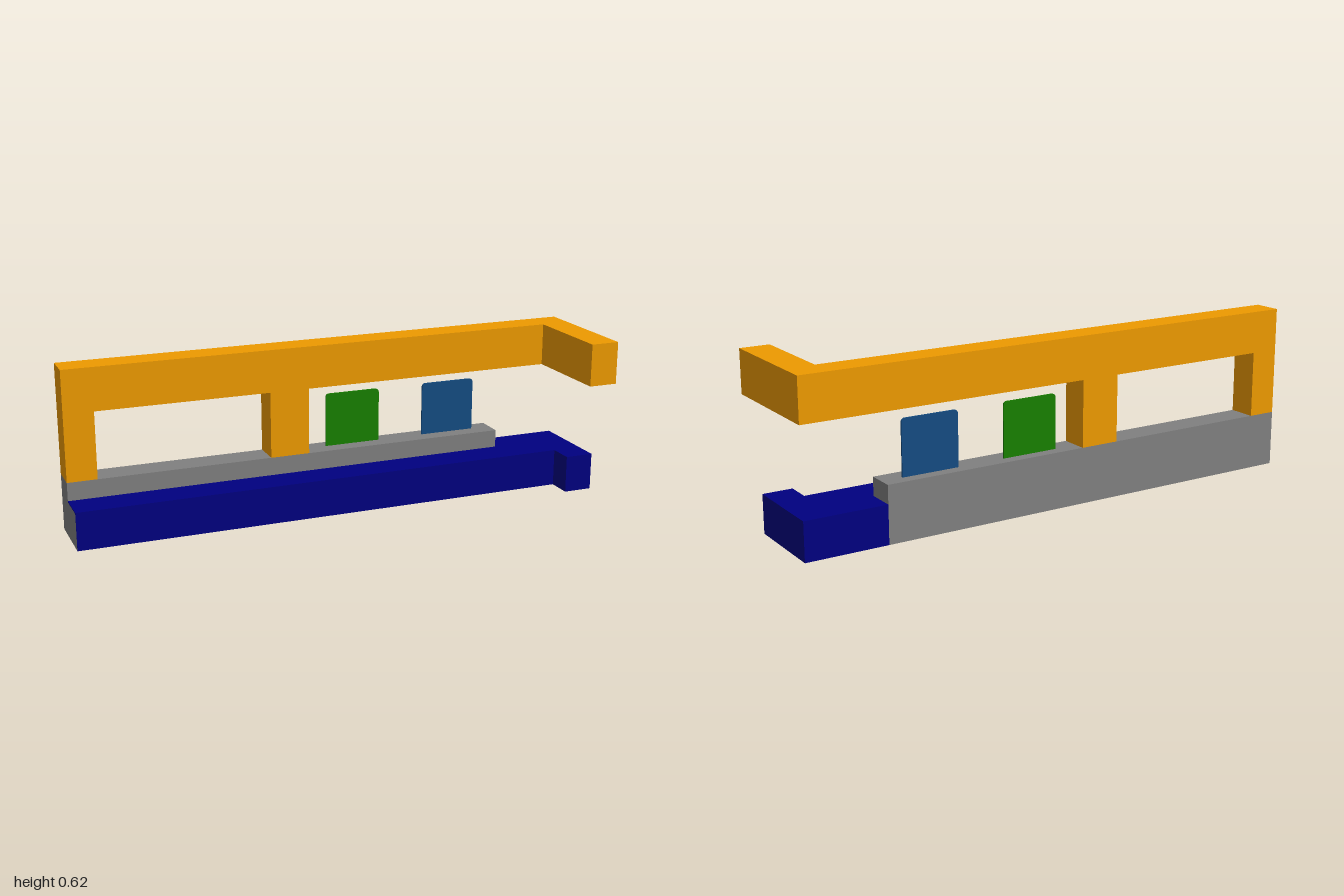
import * as THREE from 'three';

const material = (color) => new THREE.MeshStandardMaterial({ color, flatShading: true });
const orange = material(0xee9a00);
const navy = material(0x000080);
const grey = material(0x808080);
const green = material(0x188000);
const blue = material(0x144c82);

const BACK = -0.235, INNER = -0.128; // rear face and front face of the rear wall

export function createModel() {
  const group = new THREE.Group();

  const add = (name, geometry, mat) => {
    const mesh = new THREE.Mesh(geometry, mat);
    mesh.name = name;
    group.add(mesh);
    return mesh;
  };

  // Box given by its limits on each axis
  const box = (name, mat, [x0, x1], [y0, y1], [z0, z1]) => {
    const mesh = add(name, new THREE.BoxGeometry(x1 - x0, y1 - y0, z1 - z0), mat);
    mesh.position.set((x0 + x1) / 2, (y0 + y1) / 2, (z0 + z1) / 2);
  };

  // Upper frame: beam and two posts cut from one outline
  const outline = [
    [-1, 0.21], [-0.89, 0.21], [-0.89, 0.46], [-0.24, 0.46], [-0.24, 0.21],
    [-0.09, 0.21], [-0.09, 0.46], [1, 0.46], [1, 0.62], [-1, 0.62],
  ].map(([x, y]) => new THREE.Vector2(x, y));
  const frame = new THREE.ExtrudeGeometry(new THREE.Shape(outline), { depth: INNER - BACK, bevelEnabled: false });
  frame.translate(0, 0, BACK);
  add('upperFrame', frame, orange);
  box('upperArm', orange, [0.89, 1], [0.46, 0.62], [INNER, 0.235]);

  // Grey base with its raised ledge
  box('baseBlock', grey, [-1, 0.695], [0, 0.138], [BACK, -0.002]);
  box('ledge', grey, [-1, 0.695], [0.138, 0.21], [BACK, INNER]);

  // Navy facing on the base, solid end block and forward arm
  box('baseFrontFacing', navy, [-1, 0.695], [0, 0.142], [-0.002, 0]);
  box('baseTopFacing', navy, [-1, 0.695], [0.138, 0.142], [INNER, -0.002]);
  box('baseEnd', navy, [0.695, 1], [0, 0.142], [BACK, 0]);
  box('lowerArm', navy, [0.89, 1], [0, 0.142], [0, 0.095]);

  // Thin upright panels with rounded top corners
  const panel = (name, mat, x0, x1) => {
    const r = 0.016, y0 = 0.205, y1 = 0.415, thickness = 0.006;
    const shape = new THREE.Shape()
      .moveTo(x0, y0).lineTo(x1, y0).lineTo(x1, y1 - r)
      .quadraticCurveTo(x1, y1, x1 - r, y1).lineTo(x0 + r, y1)
      .quadraticCurveTo(x0, y1, x0, y1 - r);
    const geometry = new THREE.ExtrudeGeometry(shape, { depth: thickness, bevelEnabled: false, curveSegments: 6 });
    geometry.translate(0, 0, -0.192);
    add(name, geometry, mat);
  };
  panel('greenPanel', green, 0, 0.217);
  panel('bluePanel', blue, 0.4, 0.617);

  return group;
}
